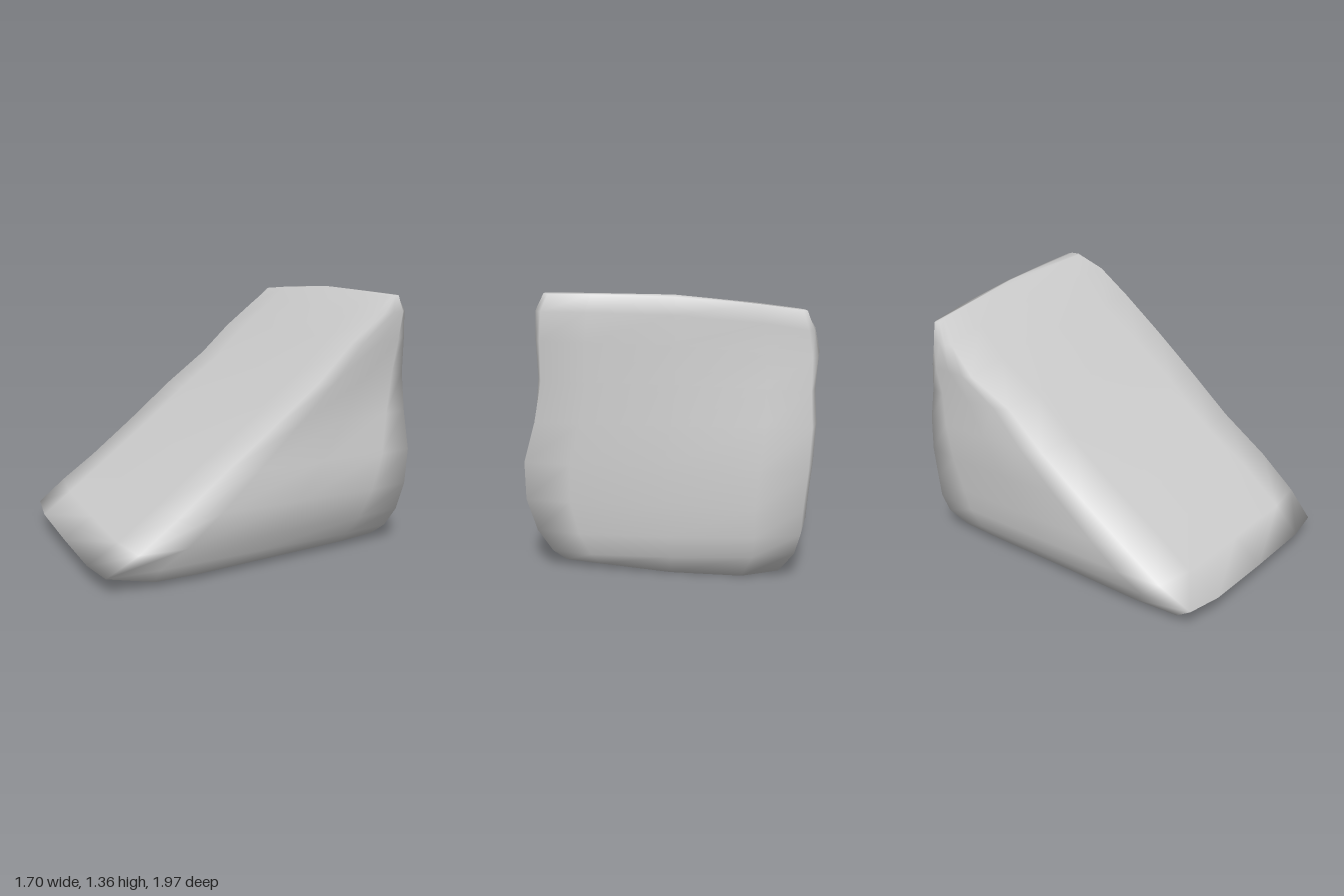
import * as THREE from 'three';

// Horizontal slices of the boulder, bottom to top, in a frame turned about y:
// s runs from the thin front lip to the back, w runs across (side A to side B).
// [yA, yB, sFrontA, sFrontB, sBackB, sBackA, wFrontA, wFrontB, wBackB, wBackA]
const SLICES = [
  [0.05, 0.03, -0.78, -0.62, 0.78, 0.74, -0.60, 0.59, 0.45, -0.63],
  [0.14, 0.09, -0.88, -0.88, 0.83, 0.79, -0.63, 0.59, 0.51, -0.71],
  [0.24, 0.20, -0.72, -0.73, 0.85, 0.81, -0.67, 0.64, 0.58, -0.74],
  [0.36, 0.36, -0.53, -0.52, 0.86, 0.81, -0.68, 0.65, 0.63, -0.75],
  [0.55, 0.55, -0.27, -0.26, 0.87, 0.80, -0.70, 0.63, 0.63, -0.77],
  [0.75, 0.75, -0.01, 0.00, 0.87, 0.77, -0.72, 0.64, 0.57, -0.78],
  [0.92, 0.95, 0.22, 0.26, 0.87, 0.74, -0.71, 0.64, 0.53, -0.77],
  [1.07, 1.14, 0.42, 0.48, 0.87, 0.72, -0.77, 0.61, 0.53, -0.77],
  [1.20, 1.28, 0.58, 0.65, 0.87, 0.71, -0.75, 0.58, 0.52, -0.75],
  [1.29, 1.36, 0.68, 0.77, 0.84, 0.715, -0.70, 0.50, 0.49, -0.72],
];
const STEPS = [0, 0.18, 0.5, 0.82];
const N = STEPS.length * 4;

// One slice outline: a quad with slightly rounded corners
function outline([yA, yB, sFA, sFB, sBB, sBA, wFA, wFB, wBB, wBA], isBottom) {
  const c = [[sFA, wFA], [sFB, wFB], [sBB, wBB], [sBA, wBA]].map(([s, w]) => new THREE.Vector2(s, w));
  const ring = [];
  for (let i = 0; i < 4; i++) {
    const a = c[i], b = c[(i + 1) % 4], before = c[(i + 3) % 4];
    for (const t of STEPS) {
      const p = a.clone().lerp(b, t);
      if (t === 0) {
        const mid = a.clone().lerp(b, 0.18).add(a.clone().lerp(before, 0.18)).multiplyScalar(0.5);
        p.lerp(mid, 0.2);
      }
      const k = THREE.MathUtils.clamp((0.6 - p.y) / 1.33, 0, 1);
      let y = yB + (yA - yB) * k ** 3;
      // the middle of the rear underside touches the ground
      if (isBottom) {
        y *= 1 - THREE.MathUtils.smoothstep(p.x, 0.3, 0.7)
          * (1 - THREE.MathUtils.smoothstep(Math.abs(p.y + 0.2), 0.3, 0.5));
      }
      ring.push(new THREE.Vector3(0.32 * p.x + 0.95 * p.y, y, 0.32 * p.y - 0.95 * p.x));
    }
  }
  return ring;
}

function ringCentre(ring) {
  return ring.reduce((sum, p) => sum.add(p), new THREE.Vector3()).divideScalar(ring.length);
}

function boulderGeometry() {
  const rings = SLICES.map((slice, i) => outline(slice, i === 0));
  // inner ring gives the underside its shallow hollow
  const base = ringCentre(rings[0]);
  rings.unshift(rings[0].map((p) => {
    const q = p.clone().lerp(base, 0.4);
    q.y = 0.04;
    return q;
  }));
  const points = rings.flat();
  const bottom = points.push(base.clone().setY(0.055)) - 1;
  const crest = ringCentre(rings[rings.length - 1]);
  const top = points.push(crest.setY(crest.y + 0.025)) - 1;

  const index = [];
  const last = (rings.length - 1) * N;
  for (let j = 0; j < N; j++) {
    const n = (j + 1) % N;
    for (let r = 0; r < last; r += N) {
      index.push(r + j, r + n, r + N + n, r + j, r + N + n, r + N + j);
    }
    index.push(n, j, bottom, last + j, last + n, top);
  }
  const geometry = new THREE.BufferGeometry().setFromPoints(points);
  geometry.setIndex(index);
  geometry.computeVertexNormals();
  return geometry;
}

export function createModel() {
  const group = new THREE.Group();
  group.name = 'rock';
  const boulder = new THREE.Mesh(
    boulderGeometry(),
    new THREE.MeshStandardMaterial({ color: 0xcccccc })
  );
  boulder.name = 'boulder';
  group.add(boulder);
  return group;
}
